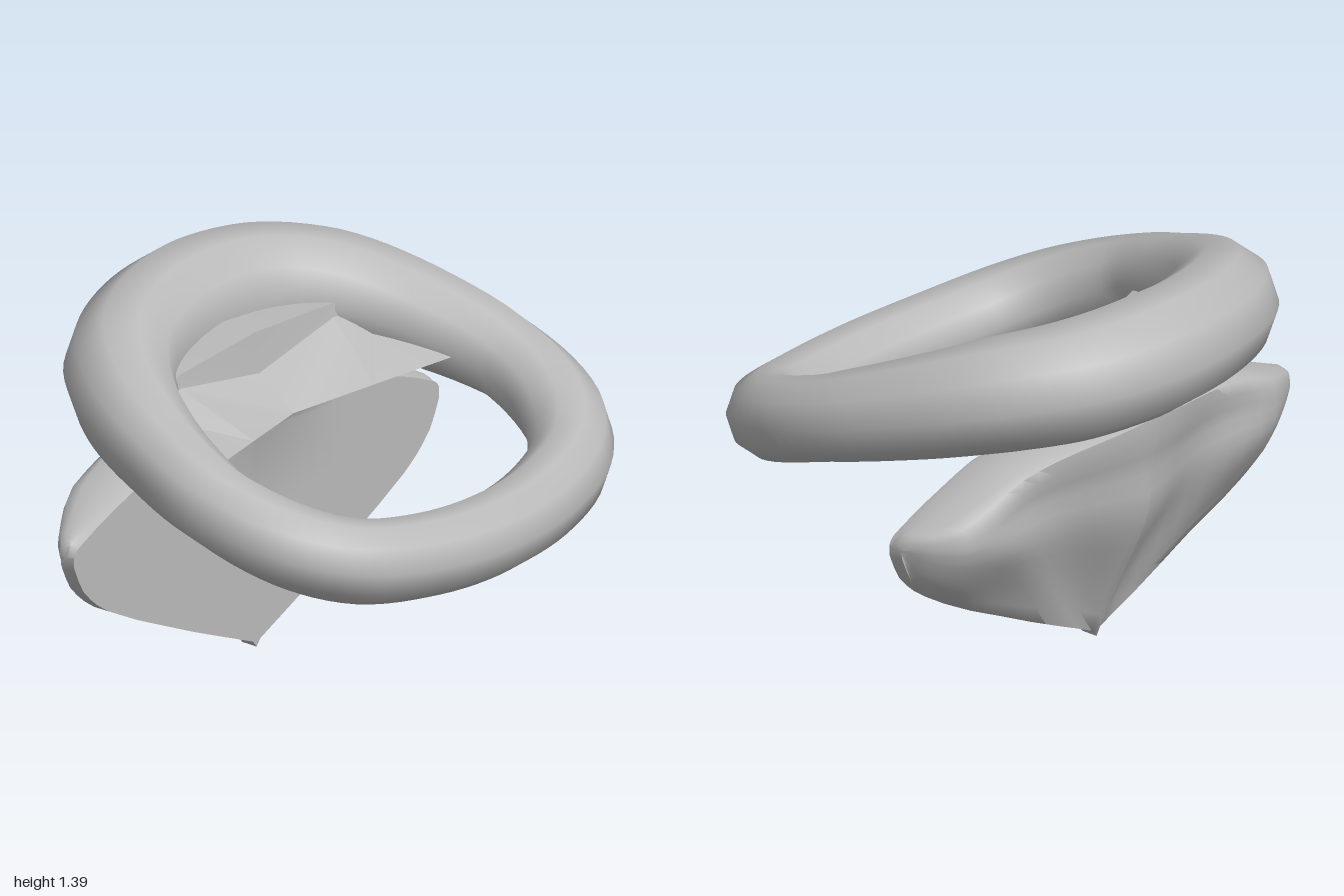
import * as THREE from 'three';
import { toCreasedNormals } from 'three/addons/utils/BufferGeometryUtils.js';

// piecewise linear lookup through [input, output] stops
function lookup(stops, v) {
  for (let i = 1; i < stops.length; i++) {
    const [a, fa] = stops[i - 1], [b, fb] = stops[i];
    if (v <= b) return fa + (fb - fa) * Math.max(0, (v - a) / (b - a));
  }
  return stops[stops.length - 1][1];
}

// skin a list of closed cross-sections; either join the last to the first or cap both ends
function loft(sections, joined) {
  const n = sections[0].length, m = sections.length;
  const points = sections.flat(), index = [];
  for (let i = 0; i < (joined ? m : m - 1); i++) {
    for (let j = 0; j < n; j++) {
      const a = i * n + j, b = i * n + (j + 1) % n;
      const c = ((i + 1) % m) * n + j, d = ((i + 1) % m) * n + (j + 1) % n;
      index.push(a, c, b, b, c, d);
    }
  }
  if (!joined) {
    [0, m - 1].forEach((row) => {
      const mid = new THREE.Vector3();
      sections[row].forEach((p) => mid.addScaledVector(p, 1 / n));
      const k = points.push(mid) - 1;
      for (let j = 0; j < n; j++) {
        const a = row * n + j, b = row * n + (j + 1) % n;
        index.push(k, ...(row ? [b, a] : [a, b]));
      }
    });
  }
  const g = new THREE.BufferGeometry().setFromPoints(points);
  g.setIndex(index);
  g.computeVertexNormals();
  return g;
}

// tilted ring: ten-sided tube, thicker at the back
function ringGeometry() {
  // x, z, tube radius, running front, left, back, right
  const stops = [
    [0, .743, .15], [.31, .712, .149], [.59, .615, .15], [.755, .45, .153], [.822, .16, .152],
    [.725, -.21, .183], [.58, -.45, .205], [.37, -.615, .217], [.07, -.677, .222],
    [-.22, -.64, .213], [-.48, -.525, .204], [-.66, -.33, .183], [-.775, -.07, .16],
    [-.825, .2, .148], [-.75, .46, .15], [-.59, .62, .15], [-.31, .712, .148],
  ];
  const height = [[-.69, 1.196], [-.45, 1.143], [-.2, 1.067], [0, 1.003], [.2, .938], [.46, .84], [.62, .772], [.745, .717]];
  const path = new THREE.CatmullRomCurve3(
    stops.map(([x, z]) => new THREE.Vector3(x, lookup(height, z), z)), true);
  const radii = [...stops, stops[0]].map((s, k) => [k / stops.length, s[2]]);
  const up = new THREE.Vector3(0, 1, 0), sections = [];
  for (let i = 0; i < 96; i++) {
    const t = i / 96, p = path.getPoint(t), tangent = path.getTangent(t);
    const out = tangent.clone().cross(up).normalize();
    const rise = out.clone().cross(tangent);
    const r = lookup(radii, t);
    sections.push(Array.from({ length: 10 }, (_, j) => {
      const a = j * Math.PI / 5;
      return p.clone().addScaledVector(out, r * Math.cos(a)).addScaledVector(rise, r * Math.sin(a));
    }));
  }
  return loft(sections, true);
}

// pointed shield: flat front, pleated bulging back, rounded shoulders
function shieldGeometry() {
  const bottom = [[0, .01], [.02, .035], [.33, .17], [.65, .32], [.81, .405], [.89, .46], [.95, .525], [.98, .58], [1, .63]];
  const top = [[0, .95], [.37, .89], [.6, .855], [.85, .765], [.95, .72], [.985, .7], [1, .67]];
  const depthLeft = [[0, .35], [.6, .31], [.75, .285], [.87, .255], [.93, .2], [.97, .14], [1, .065]];
  const depthRight = [[0, .35], [.6, .295], [.75, .25], [.9, .15], [.95, .115], [1, .065]];
  const bulge = [[0, .19], [.15, .35], [.32, .56], [.45, .73], [.55, .84], [.65, .89], [.76, .89], [.85, .94], [.92, 1], [1, 1]];
  const wingBulge = [[0, .35], [.15, .58], [.32, .75], [.55, .92], [.75, 1], [.92, .97], [1, .9]];
  const front = -.31, half = [0, .01, .02, .1, .18, .26, .34, .42, .5, .58, .66, .74, .81, .87, .91, .95, .975, .99, 1];
  const xs = half.slice(1).reverse().map((x) => -x).concat(half);
  return toCreasedNormals(loft(xs.map((x) => {
    const ax = Math.abs(x), yb = lookup(bottom, ax), yt = lookup(top, ax), h = yt - yb;
    const d = lookup(x > 0 ? depthLeft : depthRight, ax);
    const beak = .12 * Math.max(0, 1 - ax / .4);
    const wing = THREE.MathUtils.smoothstep(ax, .45, .95);
    const at = (y, z) => new THREE.Vector3(x, y, z);
    const loop = [
      at(yb, front), at(yb + h * .5, front), at(yb + h * .86, front),
      at(yb + h * .93, front + beak * .3), at(yt - .012, front + beak), at(yt, front + beak - .03),
      at(yt + .008, front - d * .4), at(yt + .004, front - d * .7),
    ];
    for (let k = 12; k >= 0; k--) {
      const t = k / 12, y = yb + h * t * .98;
      // pleats fan out from the bottom tip
      const q = Math.min(1, ax / (y + .05) / 2);
      const pleat = 1 - .1 * (1 - Math.cos(Math.min(q, .55) / .55 * Math.PI * 2));
      const profile = THREE.MathUtils.lerp(lookup(bulge, t), lookup(wingBulge, t), wing);
      loop.push(at(y, front - Math.max(.06, d * profile * pleat)));
    }
    return loop;
  }), false), 1.1);
}

// faceted canopy spanning the back of the ring opening: sloped lip, upright wall, flat roof
function canopyGeometry() {
  const rows = [
    [[.66, .99, .045], [.33, .963, -.05], [0, .935, -.145]],
    [[.62, 1.08, -.3], [.42, 1.12, -.308], [0, 1.045, -.3]],
    [[.6, 1.13, -.312], [.41, 1.17, -.315], [0, 1.197, -.315]],
    [[.56, 1.14, -.46], [.36, 1.175, -.56], [0, 1.2, -.62]],
  ].map((r) => [...r.map(([x, y, z]) => [-x, y, z]), ...r.slice(0, 2).reverse()]);
  const index = [];
  for (let i = 0; i < 3; i++) {
    for (let j = 0; j < 4; j++) {
      const a = i * 5 + j, b = a + 1, c = a + 5, d = a + 6;
      // mirror the diagonals about the middle
      index.push(...(j < 2 ? [a, b, c, b, d, c] : [a, b, d, a, d, c]));
    }
  }
  const g = new THREE.BufferGeometry().setFromPoints(rows.flat().map((p) => new THREE.Vector3(...p)));
  g.setIndex(index);
  return toCreasedNormals(g, .3);
}

export function createModel() {
  const group = new THREE.Group();
  const grey = new THREE.MeshStandardMaterial({ color: 0xbababa, side: THREE.DoubleSide });
  grey.name = 'grey';
  const add = (name, geometry) => {
    const mesh = new THREE.Mesh(geometry, grey);
    mesh.name = name;
    group.add(mesh);
  };
  add('ring', ringGeometry());
  add('shield', shieldGeometry());
  add('canopy', canopyGeometry());
  return group;
}
